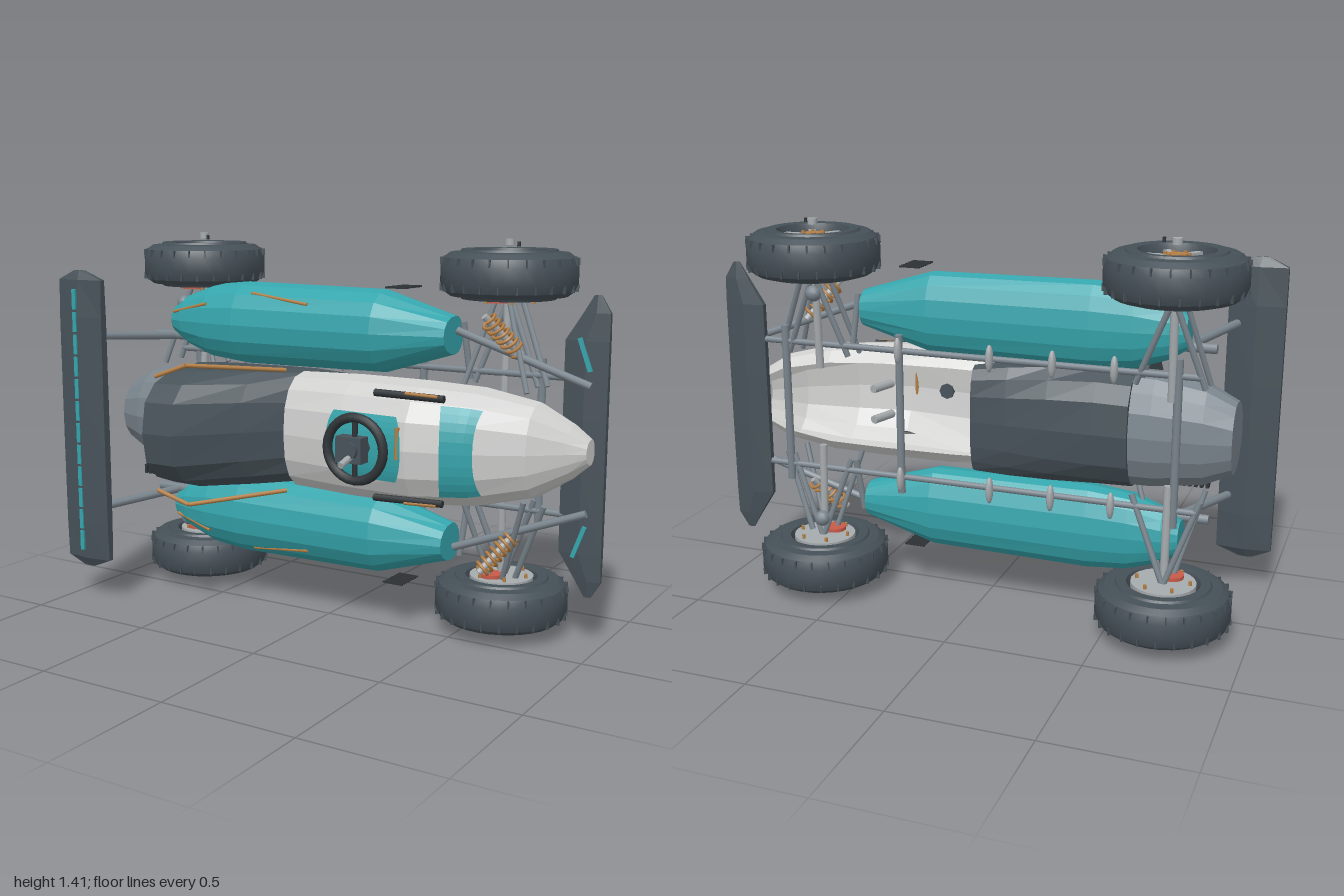
import * as THREE from 'three';
import { toCreasedNormals } from 'three/addons/utils/BufferGeometryUtils.js';

// Racing car: nose along +x, roof along +z, axles along y (y = 0 is the centre line until the final lift)
const mat = (name, color, side = THREE.FrontSide) => {
  const m = new THREE.MeshStandardMaterial({ color, side });
  m.name = name;
  return m;
};
const M = {
  teal: mat('teal paint', 0x35a5ac, THREE.DoubleSide),
  white: mat('white paint', 0xcfd0ce, THREE.DoubleSide),
  dark: mat('dark cover', 0x475259, THREE.DoubleSide),
  grey: mat('grey metal', 0x7a858d),
  light: mat('light metal', 0xa6abae),
  tyre: mat('tyre rubber', 0x455057),
  black: mat('black trim', 0x2f3437),
  bronze: mat('bronze', 0xb47f45),
  red: mat('red caliper', 0xc85a48),
};
const V = (x, y, z) => new THREE.Vector3(x, y, z);

function add(parent, name, geo, material, x = 0, y = 0, z = 0) {
  const m = new THREE.Mesh(geo, material);
  m.name = name;
  m.position.set(x, y, z);
  parent.add(m);
  return m;
}

// Flat-shaded skin over a list of equal point rings
function loft(rings, closed = true) {
  const pos = [], n = rings[0].length;
  const tri = (...p) => p.forEach(q => pos.push(q.x, q.y, q.z));
  for (let i = 0; i < rings.length - 1; i++) {
    for (let j = 0; j < (closed ? n : n - 1); j++) {
      const k = (j + 1) % n, a = rings[i], b = rings[i + 1];
      tri(a[j], a[k], b[j]);
      tri(a[k], b[k], b[j]);
    }
  }
  if (closed) [rings[0], rings.at(-1)].forEach((r, e) => {
    const c = V(0, 0, 0);
    r.forEach(p => c.addScaledVector(p, 1 / n));
    r.forEach((p, j) => e ? tri(c, p, r[(j + 1) % n]) : tri(c, r[(j + 1) % n], p));
  });
  const g = new THREE.BufferGeometry();
  g.setAttribute('position', new THREE.Float32BufferAttribute(pos, 3));
  g.computeVertexNormals();
  return g;
}

// Rounded hull cross-sections; station = [x, half width, bottom z, top z, roundness]
const STEP = Math.PI / 8;
const soft = (v, p) => Math.sign(v) * Math.abs(v) ** p;
function hullPoint([x, w, zb, zt, p = 0.95], a, grow = 0) {
  const mid = zb * 0.6 + zt * 0.4, s = soft(Math.sin(a), p);
  return V(x, (w + grow) * soft(Math.cos(a), p), mid + s * ((s > 0 ? zt - mid : mid - zb) + grow));
}
const arc = (s, from, to) => Array.from({ length: to - from + 1 }, (_, i) => hullPoint(s, (from + i) * STEP));
const hull = stations => loft(stations.map(s => arc(s, 0, 15)));
const openHull = stations => loft(stations.map(s => arc(s, -2, 10)), false);
function stationAt(stations, x) {
  const i = Math.max(1, stations.findIndex(s => s[0] >= x));
  const a = stations[i - 1], b = stations[i], t = (x - a[0]) / (b[0] - a[0]);
  return a.map((v, k) => v + (b[k] - v) * t);
}
// Thin painted panel over a hull's top; flare widens (or narrows) its ends
function panel(stations, xc, half, span, flare) {
  const rows = [-1, -0.5, 0, 0.5, 1].map(k => Array.from({ length: 11 }, (_, j) => {
    const t = j / 5 - 1;
    const x = xc + k * half * (1 + flare * (t * t - 1));
    return hullPoint(stationAt(stations, x), Math.PI / 2 + t * span, 0.007);
  }));
  return loft(rows, false);
}

// Blunt lens-section wing; station = [y, rear x, front x, half thickness]
const wing = (stations, z) => loft(stations.map(([y, x0, x1, h]) => {
  const m = (x0 + x1) / 2, e = h * 0.45;
  return [V(m, y, z + h), V(x1, y, z + e), V(x1, y, z - e), V(m, y, z - h), V(x0, y, z - e), V(x0, y, z + e)];
}));
const mirrorStations = half => [...half.map(([y, ...r]) => [-y, ...r]), ...half.slice().reverse()];

function bar(parent, name, a, b, r, material = M.grey) {
  const d = b.clone().sub(a);
  const m = add(parent, name, new THREE.CylinderGeometry(r, r, d.length(), 8), material);
  m.position.copy(a).add(b).multiplyScalar(0.5);
  m.quaternion.setFromUnitVectors(V(0, 1, 0), d.normalize());
  return m;
}
function path(parent, name, pts, r, material) {
  for (let i = 1; i < pts.length; i++) bar(parent, name, pts[i - 1], pts[i], r, material);
}

class Helix extends THREE.Curve {
  getPoint(t, out = V(0, 0, 0)) {
    const a = t * Math.PI * 14;
    return out.set(0.028 * Math.cos(a), (t - 0.5) * 0.165, 0.028 * Math.sin(a));
  }
}

// Wheel with its outer face toward +y
function makeWheel() {
  const g = new THREE.Group();
  g.name = 'wheel';
  const prof = [[0.118, -0.05], [0.13, -0.084], [0.165, -0.086], [0.17, -0.078], [0.205, -0.075], [0.228, -0.058], [0.239, -0.03],
    [0.239, 0.03], [0.228, 0.058], [0.205, 0.075], [0.17, 0.078], [0.165, 0.086], [0.13, 0.084], [0.118, 0.05], [0.118, -0.05]];
  const tyre = new THREE.LatheGeometry(prof.map(p => new THREE.Vector2(...p)), 32);
  add(g, 'tyre', toCreasedNormals(tyre, 0.5), M.tyre);
  const cyl = (name, r, h, y, m, x = 0, z = 0) => add(g, name, new THREE.CylinderGeometry(r, r, h, 24), m, x, y, z);
  cyl('rim dish', 0.12, 0.08, 0, M.grey);
  cyl('brake disc', 0.115, 0.02, -0.075, M.light);
  cyl('hub', 0.034, 0.04, 0.05, M.bronze);
  cyl('wheel nut', 0.017, 0.022, 0.11, M.light);
  cyl('valve', 0.006, 0.016, 0.105, M.black, 0.055, 0.05);
  cyl('brake caliper', 0.042, 0.02, -0.088, M.red, -0.02, 0.045);
  for (let i = 0; i < 6; i++) {
    const a = i / 6 * Math.PI * 2, c = Math.cos(a), s = Math.sin(a);
    const spoke = add(g, 'spoke', new THREE.BoxGeometry(0.085, 0.03, 0.024), M.light, 0.07 * c, 0.05, 0.07 * s);
    spoke.rotation.y = -a;
    cyl('disc bolt', 0.006, 0.02, -0.09, M.bronze, 0.095 * c, 0.095 * s);
    cyl('spoke bolt', 0.007, 0.012, 0.068, M.bronze, 0.04 * c, 0.04 * s);
  }
  for (let i = 0; i < 48; i++) {
    const a = i / 48 * Math.PI * 2, y = i % 2 ? 0.045 : -0.045;
    const lug = add(g, 'tread lug', new THREE.BoxGeometry(0.012, 0.026, 0.005), M.tyre, 0.235 * Math.cos(a), y, 0.235 * Math.sin(a));
    lug.rotation.y = -a;
  }
  return g;
}

export function createModel() {
  const car = new THREE.Group();
  car.name = 'racing car';

  // Central body: tail, engine cover with belly, and open-bottomed nose
  add(car, 'tail', hull([[-0.9, 0.13, -0.12, 0.1], [-0.8, 0.18, -0.14, 0.14], [-0.62, 0.21, -0.15, 0.18], [-0.535, 0.212, -0.15, 0.18]]), M.grey);
  add(car, 'engine cover', hull([[-0.545, 0.224, -0.165, 0.412, 0.72], [-0.42, 0.228, -0.165, 0.408, 0.72], [-0.25, 0.224, -0.165, 0.22, 0.75],
    [-0.1, 0.215, -0.165, 0.06, 0.8], [0.03, 0.2, -0.165, -0.03, 0.8]]), M.dark);
  const nose = [[-0.1, 0.215, -0.08, 0.155, 0.85], [0.15, 0.222, -0.1, 0.185, 0.85], [0.42, 0.22, -0.12, 0.207, 0.85], [0.62, 0.207, -0.14, 0.155, 0.85],
    [0.8, 0.165, -0.148, 0.06, 0.9], [0.91, 0.095, -0.15, -0.03, 1], [0.965, 0.045, -0.15, -0.07, 1]];
  add(car, 'nose', openHull(nose), M.white);
  add(car, 'nose tip', hull(nose.slice(-2)), M.white);
  add(car, 'nose panel', panel(nose, 0.595, 0.068, 0.74, 0.22), M.teal);
  add(car, 'cockpit panel', panel(nose, 0.255, 0.13, 0.46, -0.2), M.teal);
  for (const y of [-0.06, 0.06]) bar(car, 'pedal', V(0.42, y, 0.02), V(0.45, y, -0.08), 0.016, M.light);

  // Steering wheel
  add(car, 'steering wheel', new THREE.TorusGeometry(0.11, 0.017, 10, 28), M.black, 0.26, 0, 0.255);
  add(car, 'steering hub', new THREE.BoxGeometry(0.1, 0.09, 0.05), M.dark, 0.25, 0, 0.26);
  bar(car, 'steering bar', V(0.26, -0.11, 0.255), V(0.26, 0.11, 0.255), 0.01, M.black);
  bar(car, 'steering column', V(0.26, 0, 0.18), V(0.26, 0, 0.3), 0.03, M.dark);
  bar(car, 'column stub', V(0.26, -0.02, 0.28), V(0.26, -0.04, 0.35), 0.012, M.light);
  bar(car, 'cockpit bar', V(0.395, -0.03, 0.208), V(0.395, 0.08, 0.204), 0.008, M.bronze);

  // Wings
  add(car, 'rear wing', wing(mirrorStations([[0.575, -0.93, -0.88, 0.004], [0.54, -1, -0.795, 0.022], [0.4, -1, -0.795, 0.031], [0.1, -1, -0.795, 0.033]]), 0.32), M.dark);
  for (let i = 0; i < 12; i++) add(car, 'rear wing stripe', new THREE.BoxGeometry(0.017, 0.075, 0.009), M.teal, -0.91, -0.4675 + i * 0.085, 0.351);
  add(car, 'front wing', wing(mirrorStations([[0.525, 0.94, 0.965, 0.004], [0.465, 0.905, 1, 0.014], [0.37, 0.845, 1, 0.022], [0.1, 0.845, 1, 0.025]]), -0.166), M.dark);

  for (const s of [1, -1]) {
    const side = new THREE.Group();
    side.name = s > 0 ? 'upper side parts' : 'lower side parts';
    car.add(side);
    const P = (x, y, z) => V(x, y * s, z);
    const B = (name, a, b, r, m) => bar(side, name, P(...a), P(...b), r, m);

    // Side pod with trim and vent slats
    const pod = hull([[-0.73, 0.06, -0.125, 0], [-0.67, 0.1, -0.145, 0.025], [-0.55, 0.142, -0.16, 0.05], [-0.4, 0.157, -0.165, 0.062],
      [0.2, 0.15, -0.165, 0.065], [0.47, 0.068, -0.14, 0.015]]);
    add(side, 'side pod', pod, M.teal, 0, 0.372 * s, 0);
    path(side, 'pod trim', [P(-0.33, 0.492, 0.014), P(-0.07, 0.462, 0.038)], 0.006, M.bronze);
    path(side, 'pod trim', [P(-0.71, 0.405, 0.005), P(-0.53, 0.445, 0.038)], 0.006, M.bronze);
    for (let i = 0; i < 8; i++) add(side, 'vent slat', new THREE.BoxGeometry(0.08, 0.006, 0.006), M.black, 0.283, 0.535 * s, -0.1 + i * 0.017);

    // Cover trim and nose rails
    path(side, 'cover trim', [P(-0.5, 0.21, 0.385), P(-0.38, 0.255, 0.36), P(-0.13, 0.225, 0.09)], 0.008, M.bronze);
    B('nose rail', [0.28, 0.185, 0.155], [0.54, 0.18, 0.143], 0.013, M.black);
    B('nose rail inlay', [0.4, 0.191, 0.158], [0.52, 0.187, 0.152], 0.006, M.bronze);

    // Wing mounts
    B('rear wing strut', [-0.83, 0.33, 0.3], [-0.72, 0.31, 0.0], 0.016);
    B('front wing strut', [0.48, 0.39, -0.07], [0.95, 0.22, -0.13], 0.014);
    const strip = add(side, 'front wing stripe', new THREE.BoxGeometry(0.015, 0.12, 0.009), M.teal, 0.922, 0.325 * s, -0.141);
    strip.rotation.z = s * 0.35;

    // Underside frame
    B('floor rail', [-0.8, 0.24, -0.165], [0.9, 0.24, -0.165], 0.012);
    for (const x of [-0.5, -0.28, -0.05, 0.3]) {
      const fin = add(side, 'floor fin', new THREE.SphereGeometry(1, 10, 8), M.light, x, 0.245 * s, -0.18);
      fin.scale.set(0.014, 0.05, 0.02);
    }

    // Wheels and suspension arms
    for (const [x, jointZ] of [[0.62, -0.2], [-0.7, -0.05]]) {
      const wheel = makeWheel();
      wheel.position.set(x, 0.584 * s, -0.185);
      if (s < 0) wheel.scale.y = -1;
      side.add(wheel);
      for (const dx of [-0.11, 0.13]) {
        B('lower arm', [x + dx, 0.2, -0.16], [x, 0.51, -0.2], 0.011);
        B('upper arm', [x + dx, 0.19, -0.06], [x + dx * 0.2, 0.5, -0.13], 0.01);
      }
      B('axle', [x, 0.15, -0.17], [x, 0.51, -0.185], 0.015, M.light);
      add(side, 'ball joint', new THREE.SphereGeometry(0.03, 12, 8), M.grey, x, 0.435 * s, jointZ);
    }
    B('steering rod', [0.8, 0.21, -0.12], [0.68, 0.5, -0.17], 0.011);
    B('front brace', [0.52, 0.22, -0.1], [0.5, 0.42, -0.08], 0.012);
    B('rear pipe', [-0.82, 0.31, -0.03], [-0.66, 0.31, -0.03], 0.018);

    // Front spring and damper
    const damper = B('damper', [0.61, 0.45, -0.01], [0.7, 0.315, -0.115], 0.013, M.light);
    const spring = add(side, 'spring', new THREE.TubeGeometry(new Helix(), 140, 0.006, 6), M.bronze);
    spring.position.copy(damper.position);
    spring.quaternion.copy(damper.quaternion);
  }

  // Cross members and gear rack
  for (const x of [-0.72, 0.3, 0.76]) bar(car, 'cross member', V(x, -0.3, -0.17), V(x, 0.3, -0.17), 0.015);
  for (let i = 0; i < 12; i++) add(car, 'rack tooth', new THREE.BoxGeometry(0.012, 0.035, 0.03), M.black, -0.79 + i * 0.021, -0.215, 0.09);

  car.position.y = 0.705;
  const model = new THREE.Group();
  model.name = 'model';
  model.add(car);
  return model;
}
